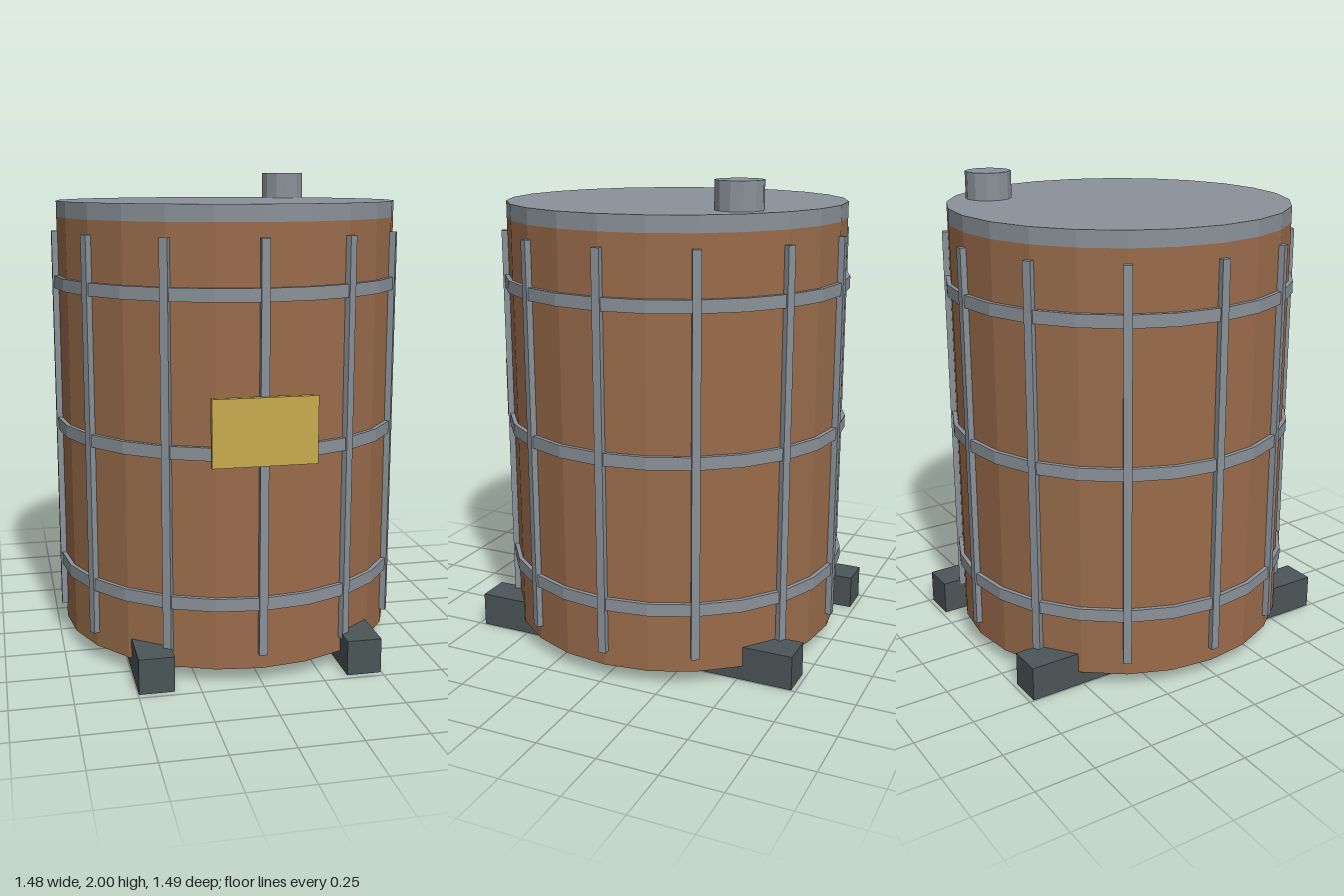
import * as THREE from 'three';

const SIDES = 24;
const RADIUS = 0.718;

function material(name, color) {
  const m = new THREE.MeshStandardMaterial({ color, flatShading: true });
  m.name = name;
  return m;
}

export function createModel() {
  const copper = material('brown cladding', 0x9a6c4b);
  const steel = material('grey steel', 0x8a9299);
  const dark = material('dark skid', 0x4b5557);
  const brass = material('yellow plate', 0xc9aa4f);

  const model = new THREE.Group();
  model.name = 'tank';

  const add = (name, geometry, mat, x, y, z, parent = model) => {
    const mesh = new THREE.Mesh(geometry, mat);
    mesh.name = name;
    mesh.position.set(x, y, z);
    parent.add(mesh);
    return mesh;
  };

  // Upright drum given by its lower and upper heights
  const drum = (name, r, y0, y1, mat, sides = SIDES, x = 0, z = 0) =>
    add(name, new THREE.CylinderGeometry(r, r, y1 - y0, sides), mat, x, (y0 + y1) / 2, z);

  // Shell, lid and vent
  drum('body', RADIUS, 0.062, 1.82, copper);
  drum('lid', RADIUS, 1.82, 1.886, steel);
  drum('vent', 0.097, 1.88, 2.0, steel, 12, 0.364, -0.424);

  // Horizontal hoops
  for (const y of [0.337, 0.945, 1.552]) drum('hoop', 0.736, y - 0.026, y + 0.026, steel);

  // Vertical straps around the shell
  const strapGeometry = new THREE.BoxGeometry(0.034, 1.638, 0.026);
  for (let i = 0; i < 12; i++) {
    const a = (i * Math.PI) / 6;
    const strap = add('strap', strapGeometry, steel, Math.sin(a) * 0.728, 0.944, Math.cos(a) * 0.728);
    strap.rotation.y = a;
  }

  // Skids under the tank
  for (const side of [-1, 1]) {
    add(side > 0 ? 'leftSkid' : 'rightSkid', new THREE.BoxGeometry(0.143, 0.145, 1.453), dark, side * 0.425, 0.0725, 0);
  }

  // Plate on the front
  add('frontPlate', new THREE.BoxGeometry(0.417, 0.268, 0.025), brass, 0, 1.034, 0.739);

  // Centre the depth, since the plate reaches past the shell
  model.children.forEach((part) => { part.position.z -= 0.005; });
  return model;
}
